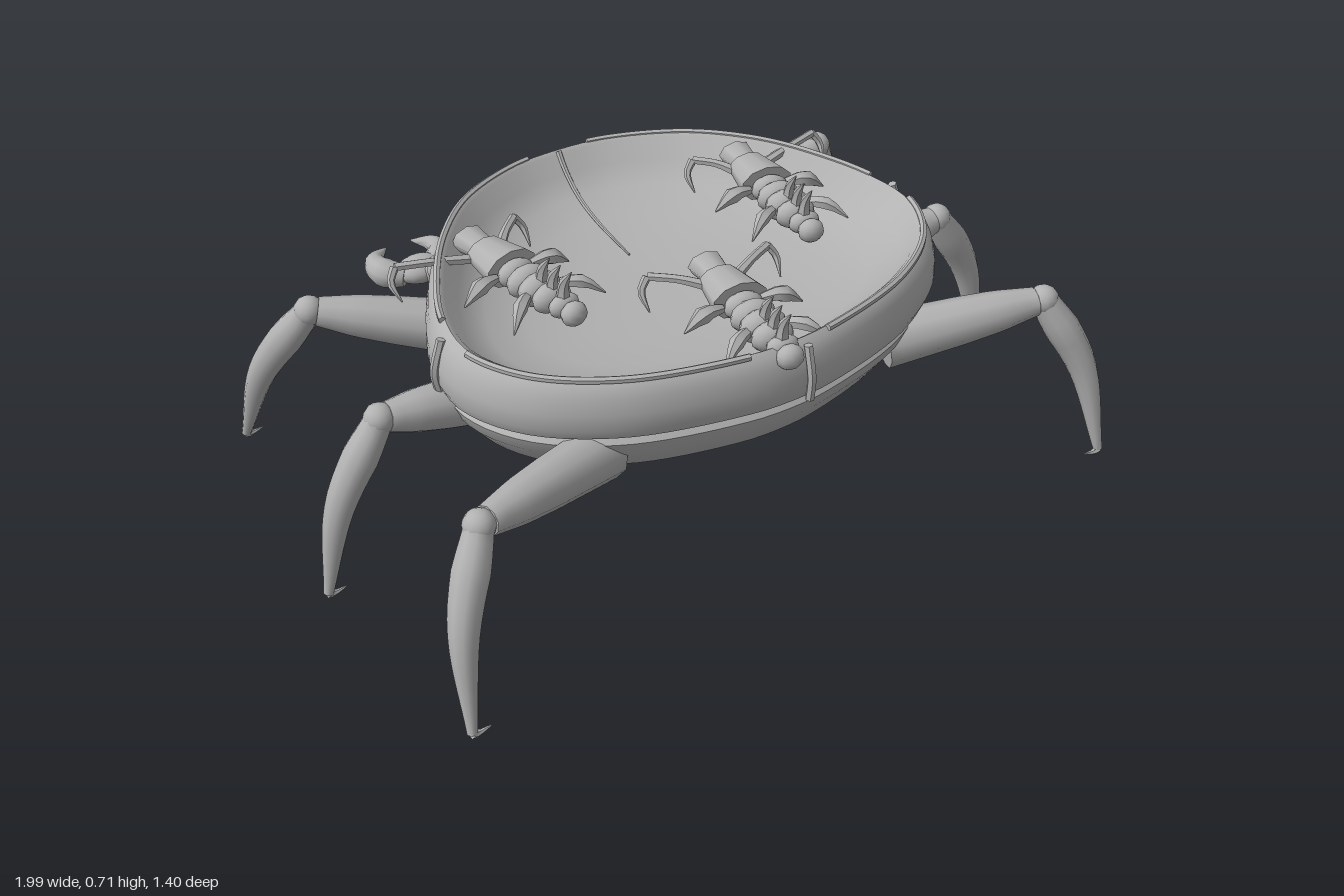
import * as THREE from 'three';
import { toCreasedNormals } from 'three/addons/utils/BufferGeometryUtils.js';

const grey = new THREE.MeshStandardMaterial({ color: 0xb2b2b2 });
grey.name = 'stone grey';
const V = (p) => new THREE.Vector3(...p);

function add(parent, geo, name, pos = [0, 0, 0], scale = [1, 1, 1]) {
  const m = new THREE.Mesh(geo, grey);
  m.name = name;
  m.position.set(...pos);
  m.scale.set(...scale);
  parent.add(m);
  return m;
}

// Skin joining closed rings of points
function loft(rings, crease) {
  const n = rings[0].length, pos = [], idx = [];
  rings.forEach((r) => r.forEach((p) => pos.push(p.x, p.y, p.z)));
  for (let i = 0; i < rings.length - 1; i++) {
    for (let j = 0; j < n; j++) {
      const a = i * n + j, b = i * n + (j + 1) % n;
      idx.push(a, b, b + n, a, b + n, a + n);
    }
  }
  const g = new THREE.BufferGeometry();
  g.setAttribute('position', new THREE.Float32BufferAttribute(pos, 3));
  g.setIndex(idx);
  return toCreasedNormals(g, crease);
}

// Tapered tube with closed ends; radii are spread evenly along the path
function limb(parent, name, pts, radii, sides = 10, steps = 14) {
  const curve = new THREE.CatmullRomCurve3(pts.map(V));
  const f = curve.computeFrenetFrames(steps), rings = [];
  const ring = (i, r) => {
    const c = curve.getPointAt(i / steps);
    return Array.from({ length: sides }, (_, j) => {
      const a = (j / sides) * Math.PI * 2;
      return c.clone().addScaledVector(f.normals[i], Math.cos(a) * r)
        .addScaledVector(f.binormals[i], Math.sin(a) * r);
    });
  };
  rings.push(ring(0, 0));
  for (let i = 0; i <= steps; i++) {
    const t = (i / steps) * (radii.length - 1), k = Math.min(Math.floor(t), radii.length - 2);
    rings.push(ring(i, THREE.MathUtils.lerp(radii[k], radii[k + 1], t - k)));
  }
  rings.push(ring(steps, 0));
  return add(parent, loft(rings, 0.9), name);
}

// Shell outline seen from above, front to back along the left side
const HALF = [[0.12, 0.57], [0.4, 0.49], [0.58, 0.36], [0.66, 0.2], [0.645, 0.05],
  [0.57, -0.12], [0.47, -0.27], [0.33, -0.41], [0.14, -0.5]];
const outline = new THREE.CatmullRomCurve3([
  [0, 0, 0.58], ...HALF.map(([x, z]) => [x, 0, z]), [0, 0, -0.515],
  ...HALF.slice().reverse().map(([x, z]) => [-x, 0, z]),
].map(V), true);

// Point on the shell at outline position p, height y and scale s
function shellPoint(p, y, s) {
  const z = 0.04 + (p.z - 0.04) * s;
  const w = THREE.MathUtils.clamp((y - 0.47) / 0.13, 0, 1);
  return new THREE.Vector3(p.x * s, y + w * 0.022 * Math.exp(-(((z + 0.25) / 0.25) ** 2)), z);
}

function buildShell(g) {
  // Belly, groove, upper band, rim, then down into the shallow bowl
  const profile = [[0.245, 0], [0.25, 0.42], [0.265, 0.65], [0.29, 0.77], [0.34, 0.88],
    [0.4, 0.95], [0.435, 0.97], [0.452, 0.945], [0.464, 0.99], [0.49, 1.006], [0.53, 1.003],
    [0.57, 0.988], [0.595, 0.965], [0.608, 0.94], [0.6, 0.92], [0.555, 0.87], [0.517, 0.76],
    [0.492, 0.6], [0.477, 0.38], [0.47, 0]];
  const pts = outline.getSpacedPoints(96).slice(0, 96);
  add(g, loft(profile.map(([y, s]) => pts.map((p) => shellPoint(p, y, s))), 0.6), 'bowlShell');

  // Raised edging in four arcs
  for (const [a, b] of [[0.03, 0.215], [0.255, 0.475], [0.525, 0.745], [0.785, 0.97]]) {
    const path = [];
    for (let i = 0; i <= 24; i++) {
      const q = shellPoint(outline.getPointAt(a + ((b - a) * i) / 24), 0.606, 0.95);
      path.push([q.x, q.y, q.z]);
    }
    limb(g, 'rimEdging', path, [0.009, 0.009], 6, 40);
  }
  // Upright seams on the band and the crease inside the bowl
  for (const [x, z] of [[0.665, 0.11], [-0.665, 0.11], [0.035, 0.585]]) {
    limb(g, 'seam', [[x * 0.99, 0.46, z], [x * 1.005, 0.52, z * 1.005], [x * 0.97, 0.6, z * 0.975]],
      [0.011, 0.011], 6, 8);
  }
  limb(g, 'bowlCrease', [[0, 0.616, -0.475], [0, 0.578, -0.445], [0, 0.53, -0.38],
    [0, 0.501, -0.293], [0, 0.48, -0.13]], [0.008, 0.006, 0.003], 6);
}

function buildHead(g) {
  const head = limb(g, 'head', [[0, 0, -0.42], [0, 0, -0.5], [0, -0.005, -0.56], [0, -0.01, -0.595]],
    [0.1, 0.1, 0.098, 0.08, 0.05], 20);
  head.position.y = 0.445;
  head.scale.set(1.4, 0.7, 1);
  for (const s of [-1, 1]) {
    add(g, new THREE.SphereGeometry(0.012, 10, 8), 'eye', [s * 0.035, 0.48, -0.58]);
  }
}

function buildLeg(g, root, knee, foot) {
  const mix = (a, b, t) => a.map((v, i) => v + (b[i] - v) * t);
  limb(g, 'upperLeg', [root, mix(root, knee, 0.5), mix(root, knee, 0.95)], [0.07, 0.065, 0.06, 0.052, 0.036]);
  add(g, new THREE.SphereGeometry(0.038, 12, 8), 'kneeJoint', knee);
  // The shin bows outwards before it drops
  const bow = mix(knee, foot, 0.52);
  bow[0] += 0.025;
  bow[1] += 0.035;
  limb(g, 'lowerLeg', [knee, bow, foot], [0.034, 0.045, 0.04, 0.032, 0.022, 0.012]);
  limb(g, 'footClaw', [foot, [foot[0] - 0.012, 0.006, foot[2]], [foot[0] - 0.045, 0.012, foot[2]]],
    [0.012, 0.006, 0.002], 6, 4);
}

function buildClaw(g) {
  limb(g, 'clawArm', [[0.24, 0.4, -0.34], [0.3, 0.38, -0.43], [0.35, 0.345, -0.53]],
    [0.05, 0.068, 0.07, 0.06, 0.036]);
  add(g, new THREE.SphereGeometry(0.038, 12, 8), 'wrist', [0.345, 0.335, -0.535]);
  add(g, new THREE.SphereGeometry(0.06, 14, 10), 'palm', [0.375, 0.33, -0.575], [1.1, 0.6, 0.85]);
  limb(g, 'outerPincer', [[0.42, 0.325, -0.57], [0.465, 0.33, -0.61], [0.465, 0.335, -0.66], [0.415, 0.34, -0.7]],
    [0.03, 0.04, 0.026, 0.003]);
  limb(g, 'innerPincer', [[0.35, 0.325, -0.57], [0.3, 0.33, -0.61], [0.295, 0.335, -0.66], [0.34, 0.34, -0.7]],
    [0.03, 0.038, 0.024, 0.003]);
}

// Small crawler lying along z with its head at -z; reach sets the length of each front arm
function buildCrawler(x, y, z, turn, rightReach, leftReach) {
  const c = new THREE.Group();
  c.name = 'crawler';
  const head = new THREE.CylinderGeometry(0.036, 0.046, 0.07, 8).rotateX(Math.PI / 2);
  add(c, head, 'crawlerHead', [0, 0.005, -0.185], [1, 0.7, 1]);
  const chest = new THREE.CylinderGeometry(0.072, 0.052, 0.11, 10).rotateX(Math.PI / 2);
  add(c, chest, 'crawlerChest', [0, 0.005, -0.095], [1, 0.65, 1]);
  [0.05, 0.058, 0.06, 0.054, 0.042].forEach((r, i) => {
    add(c, new THREE.SphereGeometry(r, 10, 8), 'bodySegment', [0, 0, -0.025 + i * 0.046], [1, 0.7, 0.6]);
  });
  add(c, new THREE.SphereGeometry(0.034, 10, 8), 'tailTip', [0, -0.005, 0.195], [1, 0.9, 0.8]);
  for (const zz of [0.075, 0.115, 0.155]) {
    limb(c, 'tailSpike', [[0, 0.015, zz], [0, 0.06, zz + 0.006], [0, 0.105, zz + 0.035]], [0.018, 0.012, 0.001], 6, 6);
  }
  for (const [s, r] of [[-1, rightReach], [1, leftReach]]) {
    limb(c, 'frontArm', [[s * 0.04, 0, -0.14], [s * (r * 0.6), 0.015, -0.17], [s * r, 0.02, -0.205]],
      [0.014, 0.011, 0.011], 6, 6);
    limb(c, 'frontHook', [[s * r, 0.02, -0.205], [s * (r + 0.02), -0.01, -0.195], [s * (r + 0.015), -0.05, -0.16]],
      [0.011, 0.009, 0.002], 6, 6);
    limb(c, 'middleLeg', [[s * 0.05, 0, -0.035], [s * 0.1, 0.005, -0.025], [s * 0.155, -0.03, -0.02]],
      [0.011, 0.022, 0.002], 6, 6);
    limb(c, 'rearLeg', [[s * 0.035, 0, 0.07], [s * 0.09, 0.005, 0.11], [s * 0.135, -0.03, 0.145]],
      [0.012, 0.018, 0.002], 6, 6);
  }
  c.position.set(x, y, z);
  c.rotation.y = turn;
  return c;
}

export function createModel() {
  const model = new THREE.Group();
  model.name = 'crabBowl';
  buildShell(model);
  buildHead(model);

  // Legs and claws on each side
  const left = new THREE.Group();
  left.name = 'leftLimbs';
  buildLeg(left, [0.4, 0.375, 0.4], [0.79, 0.435, 0.54], [0.91, 0.012, 0.685]);
  buildLeg(left, [0.5, 0.385, 0.09], [0.81, 0.445, 0.105], [0.985, 0.012, 0.115]);
  buildLeg(left, [0.42, 0.365, -0.21], [0.77, 0.455, -0.37], [0.91, 0.012, -0.565]);
  buildClaw(left);
  model.add(left);
  const right = left.clone();
  right.name = 'rightLimbs';
  right.scale.x = -1;
  model.add(right);

  // Three crawlers around the bowl
  model.add(buildCrawler(0.365, 0.6, -0.02, -0.14, 0.13, 0.22));
  model.add(buildCrawler(-0.365, 0.6, -0.02, 0.14, 0.22, 0.13));
  model.add(buildCrawler(0.005, 0.595, 0.38, -0.12, 0.16, 0.16));
  return model;
}
